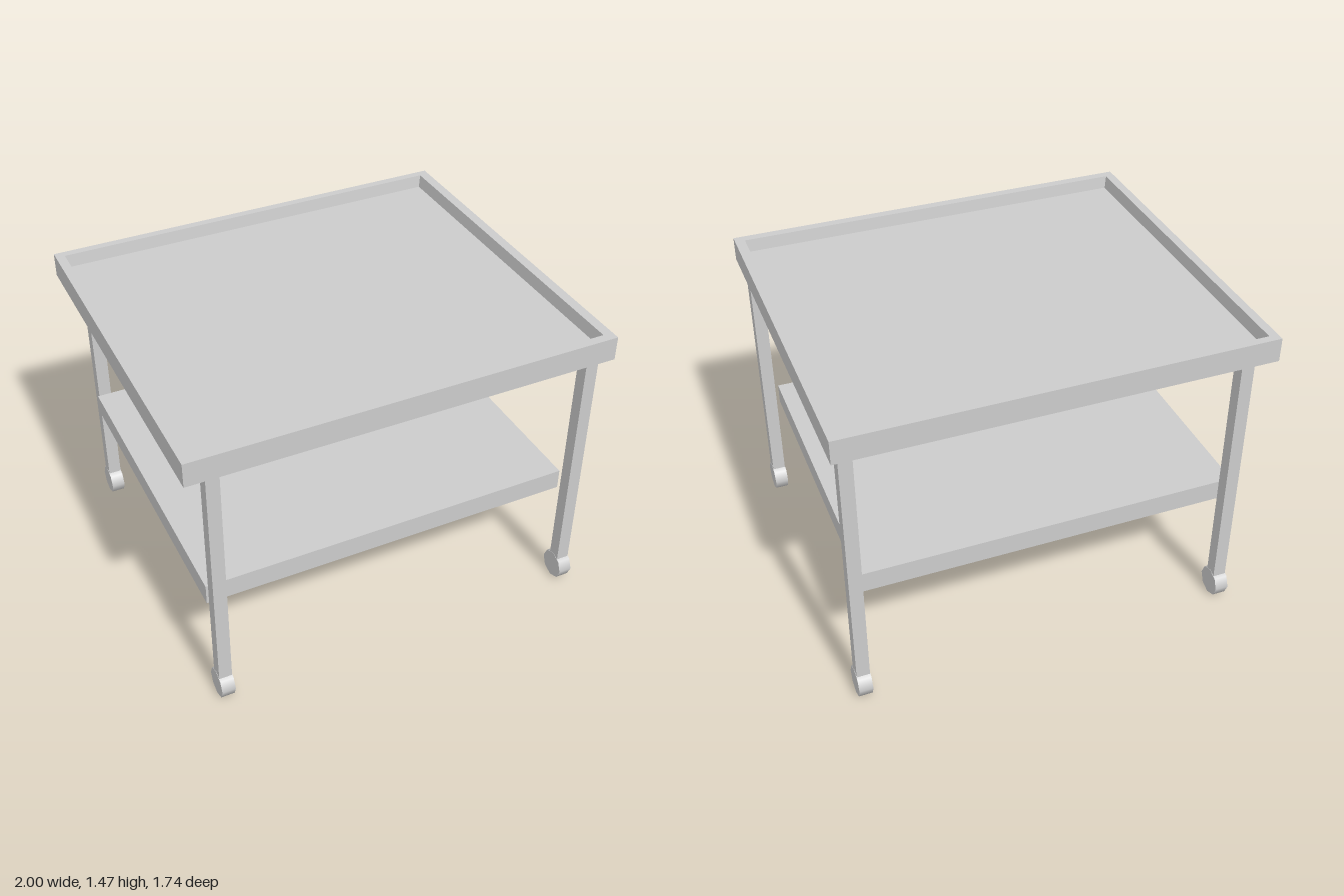
import * as THREE from 'three';

const material = new THREE.MeshStandardMaterial({ color: 0xcccccc });
const flatMaterial = new THREE.MeshStandardMaterial({ color: 0xcccccc, flatShading: true });

function addMesh(group, name, geometry, mat = material) {
  const mesh = new THREE.Mesh(geometry, mat);
  mesh.name = name;
  group.add(mesh);
  return mesh;
}

// Box given by its extents on each axis
function addBox(group, name, [x0, x1], [y0, y1], [z0, z1]) {
  const mesh = addMesh(group, name, new THREE.BoxGeometry(x1 - x0, y1 - y0, z1 - z0));
  mesh.position.set((x0 + x1) / 2, (y0 + y1) / 2, (z0 + z1) / 2);
  return mesh;
}

// Skins a chain of rectangles [x0, x1, z0, z1, y] and caps both ends
function loftRectangles(rects) {
  const loops = rects.map(([x0, x1, z0, z1, y]) =>
    [[x0, y, z1], [x1, y, z1], [x1, y, z0], [x0, y, z0]]);
  const positions = [];
  const quad = (a, b, c, d) => positions.push(...a, ...b, ...c, ...a, ...c, ...d);
  for (let k = 0; k < loops.length - 1; k++) {
    for (let i = 0; i < 4; i++) {
      const j = (i + 1) % 4;
      quad(loops[k][i], loops[k][j], loops[k + 1][j], loops[k + 1][i]);
    }
  }
  quad(...loops[0].slice().reverse());
  quad(...loops[loops.length - 1]);
  const geometry = new THREE.BufferGeometry();
  geometry.setAttribute('position', new THREE.Float32BufferAttribute(positions, 3));
  geometry.computeVertexNormals();
  return geometry;
}

export function createModel() {
  const cart = new THREE.Group();
  cart.name = 'rollingCart';

  // Table top: a tray with a raised rim and slightly sloped inner walls
  addMesh(cart, 'trayTop', loftRectangles([
    [-1, 1, -0.85, 0.87, 1.355],
    [-1, 1, -0.85, 0.87, 1.47],
    [-0.957, 0.953, -0.813, 0.828, 1.47],
    [-0.948, 0.944, -0.804, 0.819, 1.41],
  ]), flatMaterial);

  // Lower shelf
  addBox(cart, 'lowerShelf', [-0.9, 0.893], [0.56, 0.66], [-0.76, 0.741]);

  // Four legs, each on an eight-sided wheel
  const wheelGeometry = new THREE.CylinderGeometry(0.071, 0.071, 0.065, 8).rotateZ(Math.PI / 2);
  for (const [side, x] of [['Right', -0.858], ['Left', 0.94]]) {
    for (const [end, legZ, wheelZ] of [['front', 0.771, 0.767], ['back', -0.806, -0.803]]) {
      addBox(cart, `${end}${side}Leg`,
        [x - 0.031, x + 0.031], [0.1, 1.36], [legZ - 0.031, legZ + 0.031]);
      addMesh(cart, `${end}${side}Wheel`, wheelGeometry).position.set(x, 0.071, wheelZ);
    }
  }
  return cart;
}
